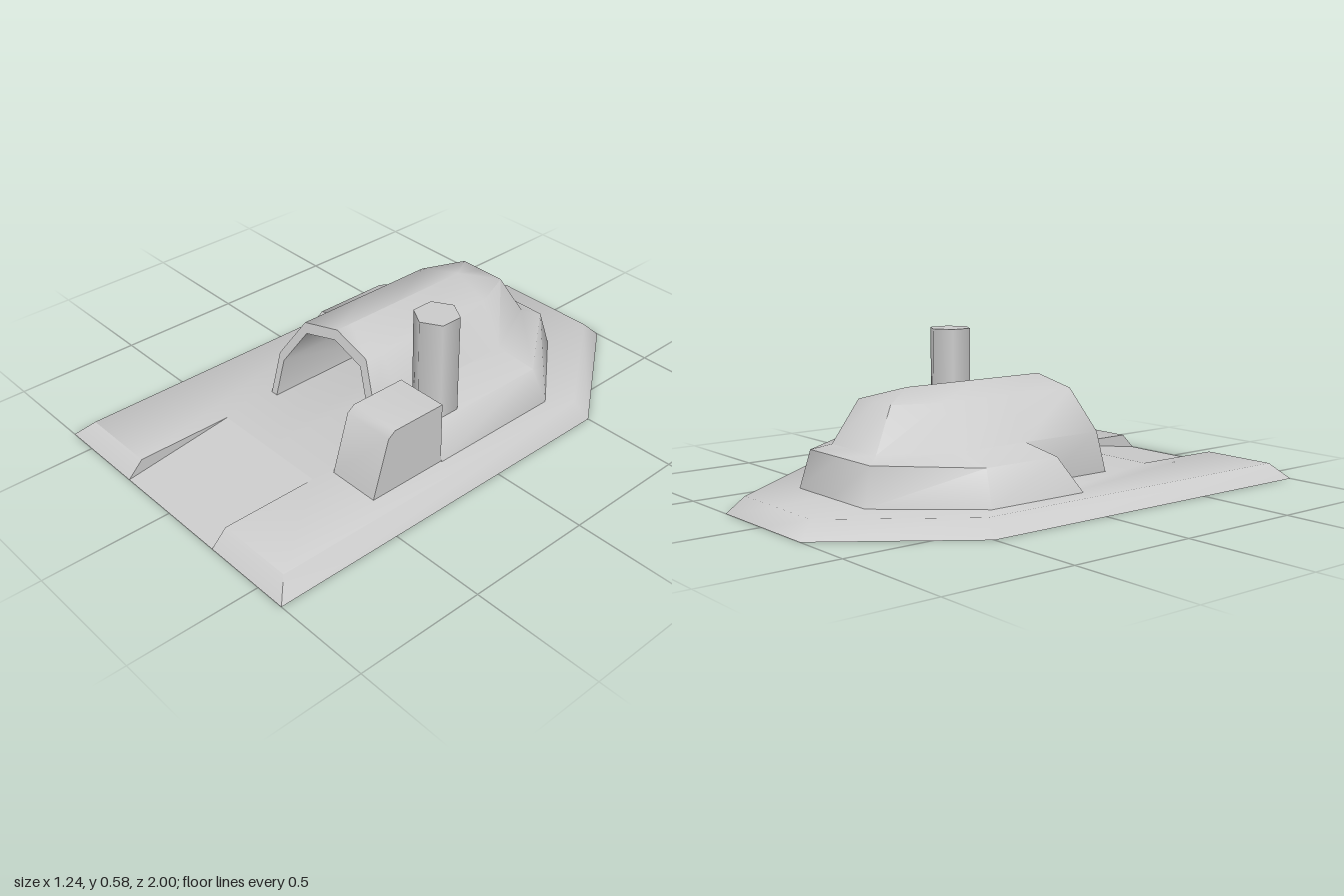
import * as THREE from 'three';
import { toCreasedNormals } from 'three/addons/utils/BufferGeometryUtils.js';

const material = new THREE.MeshStandardMaterial({ color: 0xcccccc, side: THREE.DoubleSide });

// Mirror faces (lists of corners) across x = 0, keeping them facing outwards
const flip = faces => faces.map(f => f.map(([x, y, z]) => [-x, y, z]).reverse());

// Fan-triangulate faces into one mesh, smooth below the crease angle
function faceMesh(name, faces, crease = 1) {
  const pos = [];
  for (const f of faces)
    for (let i = 1; i < f.length - 1; i++) pos.push(...f[0], ...f[i], ...f[i + 1]);
  const g = new THREE.BufferGeometry();
  g.setAttribute('position', new THREE.Float32BufferAttribute(pos, 3));
  return solid(name, toCreasedNormals(g, crease));
}

function solid(name, geometry) {
  const m = new THREE.Mesh(geometry, material);
  m.name = name;
  return m;
}

// Quads between two rows of equal length
const strip = (lower, upper) => lower.slice(1).map((p, i) =>
  [lower[i], p, upper[i + 1], upper[i]]).filter(q => q.every(Boolean));

const TOP = 0.06; // height of the pad
const leanZ = y => 0.33 - 0.3 * (y - TOP); // leaning plane of the entrance
const outerArch = [[0.27, TOP], [0.27, 0.22], [0.17, 0.38], [0, 0.42]];
const innerArch = [[0.24, TOP], [0.24, 0.2], [0.15, 0.345], [0, 0.382]];

// Half of the pad: bevelled rim and top with a notch for the ramp
function padHalf() {
  const low = [[0.25, 0, 1], [0.62, 0, 1], [0.62, 0, -0.5], [0.25, 0, -1], [0, 0, -1]];
  const high = [[0.25, TOP, 0.94], [0.56, TOP, 0.94], [0.56, TOP, -0.48], [0.22, TOP, -0.94], [0, TOP, -0.94]];
  const notch = [0.25, TOP, 0.56];
  return [
    ...strip(low, high),
    [notch, high[0], high[1], high[2]],
    [notch, high[2], high[3], high[4], [0, TOP, 0.56]],
  ];
}

// Half of the roof shell; the side wing starts at zf and its front leans back
function shellHalf(zf, lean) {
  const ze = zf - lean * 0.9, zs = zf - lean;
  const foot = [[0.485, TOP, zf], [0.485, TOP, -0.4], [0.21, TOP, -0.725], [0, TOP, -0.725]];
  const edge = [[0.43, 0.19, ze], [0.43, 0.19, -0.38], [0.19, 0.2, -0.69], [0, 0.2, -0.69]];
  const shoulder = [[0.27, 0.22, zs], [0.27, 0.22, -0.36], [0.14, 0.22, -0.63], [0, 0.22, -0.63]];
  const haunch = [[0.17, 0.38, zs], [0.17, 0.38, -0.37], [0.1, 0.38, -0.54], [0, 0.38, -0.54]];
  const crown = [[0, 0.42, zs], [0, 0.42, -0.4], [0, 0.42, -0.4], [0, 0.42, -0.4]];
  const [f, s, h, c] = outerArch.map(([x, y]) => [x, y, leanZ(y)]);
  const wingRoot = [0.27, TOP, zf];
  return [
    ...strip(foot, edge),
    ...strip(edge, shoulder),
    ...strip([s, ...shoulder], [h, ...haunch]),
    ...strip([h, ...haunch], [c, ...crown]),
    [f, wingRoot, shoulder[0], s],
    [wingRoot, foot[0], edge[0], shoulder[0]],
  ];
}

// Half of the entrance: leaning rim, tunnel lining and end wall
function entranceHalf() {
  const outer = outerArch.map(([x, y]) => [x, y, leanZ(y)]);
  const inner = innerArch.map(([x, y]) => [x, y, leanZ(y)]);
  const end = innerArch.map(([x, y]) => [x, y, -0.34]);
  return {
    rim: strip(inner, outer).map(q => q.reverse()),
    lining: strip(end, inner).map(q => q.reverse()),
    wall: [[[0, TOP, -0.34], ...end]],
  };
}

export function createModel() {
  const model = new THREE.Group();
  model.name = 'bunker';

  // Pad and entry ramp
  const pad = padHalf();
  model.add(faceMesh('pad', [...pad, ...flip(pad)]));
  const cheek = [[[0.25, 0, 1], [0.25, TOP, 0.94], [0.25, TOP, 0.56]]];
  model.add(faceMesh('rampCheeks', [...cheek, ...flip(cheek)]));
  model.add(faceMesh('ramp', [[[-0.25, TOP, 0.56], [-0.25, 0, 1], [0.25, 0, 1], [0.25, TOP, 0.56]]]));

  // Vaulted roof, with a longer wing on the chimney side
  model.add(faceMesh('roofShell', [...shellHalf(0.155, 0), ...flip(shellHalf(0.015, 0.085))]));

  // Entrance
  const { rim, lining, wall } = entranceHalf();
  model.add(faceMesh('entranceRim', [...rim, ...flip(rim)]));
  model.add(faceMesh('tunnelLining', [...lining, ...flip(lining)]));
  model.add(faceMesh('tunnelEndWall', [...wall, ...flip(wall)]));

  // Side block with a sloped front
  const profile = new THREE.Shape([[0.155, TOP], [0.48, TOP], [0.41, 0.285], [0.38, 0.307], [0.155, 0.307]]
    .map(([z, y]) => new THREE.Vector2(z, y)));
  const block = new THREE.ExtrudeGeometry(profile, { depth: 0.21, bevelEnabled: false });
  block.rotateY(-Math.PI / 2).translate(0.48, 0, 0);
  model.add(solid('sideBlock', toCreasedNormals(block, 0.9)));

  // Six-sided chimney
  const chimney = solid('chimney', new THREE.CylinderGeometry(0.085, 0.085, 0.39, 6));
  chimney.position.set(0.347, 0.385, 0.06);
  model.add(chimney);

  return model;
}
